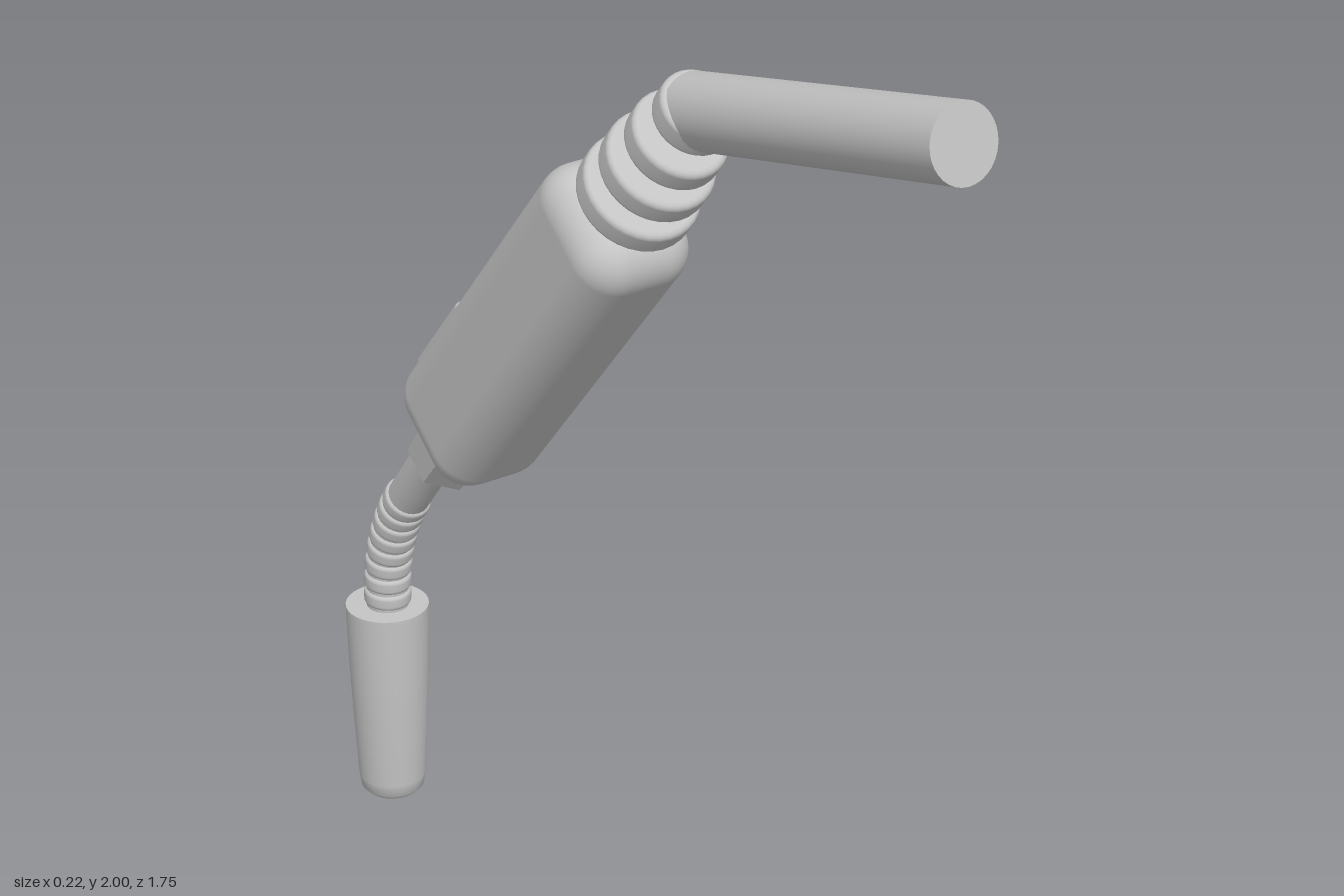
import * as THREE from 'three';
import { RoundedBoxGeometry } from 'three/addons/geometries/RoundedBoxGeometry.js';

export function createModel() {
  const model = new THREE.Group();
  model.name = 'handheldTool';
  const grey = new THREE.MeshStandardMaterial({ color: 0xc4c4c4 });
  grey.name = 'light grey';

  const add = (parent, name, geometry, x = 0, y = 0, z = 0) => {
    const mesh = new THREE.Mesh(geometry, grey);
    mesh.name = name;
    mesh.position.set(x, y, z);
    parent.add(mesh);
    return mesh;
  };
  const up = new THREE.Vector3(0, 1, 0);
  const lathe = (points) =>
    new THREE.LatheGeometry(points.map(([r, y]) => new THREE.Vector2(r, y)), 32);

  // Short disc with softened rims, centred on its axis
  const disc = (r, h, bevel) => {
    const pts = [[0, -h / 2], [r - bevel, -h / 2], [r - bevel, -h / 2]];
    for (let i = 0; i <= 4; i++) {
      const a = -Math.PI / 2 + (i / 4) * Math.PI / 2;
      pts.push([r - bevel + bevel * Math.cos(a), -h / 2 + bevel + bevel * Math.sin(a)]);
    }
    for (let i = 0; i <= 4; i++) {
      const a = (i / 4) * Math.PI / 2;
      pts.push([r - bevel + bevel * Math.cos(a), h / 2 - bevel + bevel * Math.sin(a)]);
    }
    pts.push([r - bevel, h / 2], [0, h / 2]);
    return lathe(pts);
  };

  // Tilted handle assembly, local y runs along the grip
  const handle = new THREE.Group();
  handle.name = 'handle';
  handle.position.set(0, 1.23, -0.247);
  handle.rotation.x = 0.695;
  model.add(handle);

  add(handle, 'grip', new RoundedBoxGeometry(0.22, 0.83, 0.252, 6, 0.072));
  add(handle, 'button', new RoundedBoxGeometry(0.084, 0.227, 0.05, 3, 0.014), 0, -0.265, -0.124);

  // Separate neck rings, shrinking towards the nozzle
  [[0.46, 0.105], [0.542, 0.097], [0.624, 0.085], [0.706, 0.07]].forEach(([y, r], i) =>
    add(handle, 'neckRing' + (i + 1), disc(r, 0.05, 0.011), 0, y, 0));

  // Hexagonal collar with a corner facing the button side
  const hex = new THREE.CylinderGeometry(0.076, 0.07, 0.11, 6).toNonIndexed();
  hex.computeVertexNormals();
  add(handle, 'collar', hex, 0, -0.46, 0);

  // Straight nozzle tube
  const tip = new THREE.Vector3(0, 1.936, 0.86);
  const root = new THREE.Vector3(0, 1.774, 0.2);
  const axis = tip.clone().sub(root);
  const nozzle = add(model, 'nozzle', new THREE.CylinderGeometry(0.064, 0.064, axis.length(), 32));
  nozzle.position.copy(tip).add(root).multiplyScalar(0.5);
  nozzle.quaternion.setFromUnitVectors(up, axis.normalize());

  // Cable bending down into the plug
  const path = new THREE.CatmullRomCurve3([
    [0.86, -0.575], [0.75, -0.664], [0.648, -0.738], [0.54, -0.78], [0.4, -0.793],
  ].map(([y, z]) => new THREE.Vector3(0, y, z)));
  add(model, 'cable', new THREE.TubeGeometry(path, 40, 0.041, 24));

  // Strain relief ribs following the cable
  for (let i = 0; i < 8; i++) {
    const t = 0.41 + i * 0.07;
    const rib = add(model, 'cableRib' + (i + 1), disc(0.046, 0.032, 0.009));
    rib.position.copy(path.getPointAt(t));
    rib.quaternion.setFromUnitVectors(up, path.getTangentAt(t).negate());
  }

  // Tapered plug with a small contact nub underneath
  add(model, 'plug', lathe([
    [0, 0.015], [0.052, 0.015], [0.052, 0.015], [0.062, 0.025], [0.065, 0.045], [0.066, 0.05],
    [0.073, 0.18], [0.078, 0.3], [0.081, 0.42], [0.081, 0.43], [0.081, 0.43], [0, 0.43],
  ]), 0, 0, -0.793);
  add(model, 'contactNub', new THREE.CylinderGeometry(0.025, 0.025, 0.03, 20), 0, 0.015, -0.793);

  return model;
}
